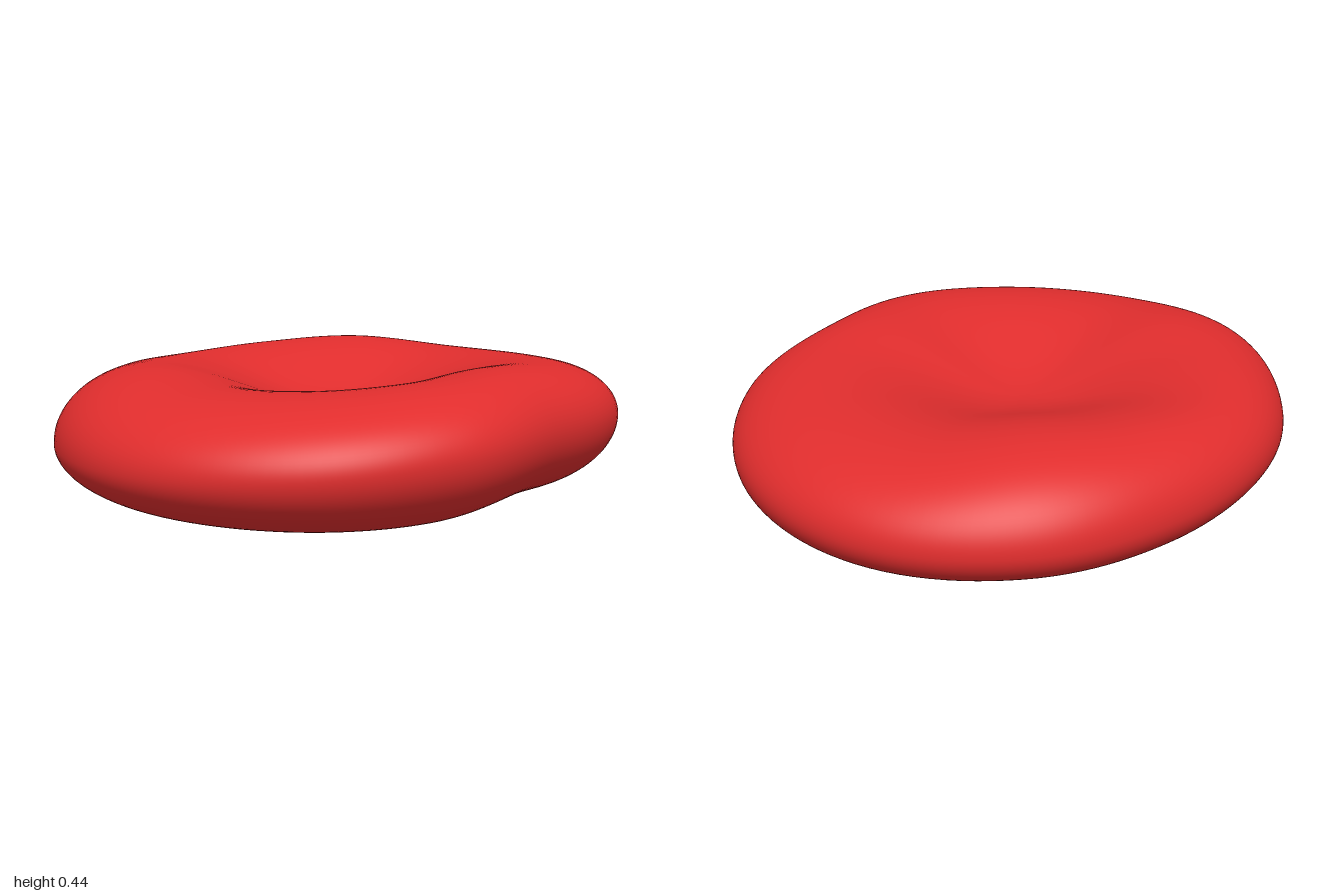
import * as THREE from 'three';
import { mergeVertices } from 'three/addons/utils/BufferGeometryUtils.js';

// Values every 30 degrees from the front (0) to the back (180), mirrored left/right
const outline = [0.85, 0.93, 0.99, 1.0, 0.95, 0.872, 0.85];
const topHeight = [0.445, 0.43, 0.41, 0.405, 0.43, 0.415, 0.4];
const bottomHeight = [0.02, 0.004, 0.006, 0.012, 0.02, 0.02, 0.025];
const edgeHeight = [0.26, 0.25, 0.22, 0.2, 0.2, 0.21, 0.225];
const topCrest = [0.73, 0.7, 0.65, 0.63, 0.65, 0.7, 0.73];
const bottomCrest = [0.58, 0.58, 0.6, 0.6, 0.6, 0.58, 0.56];
const TOP_CENTRE = 0.28, BOTTOM_CENTRE = 0.13;

// Smooth interpolation of a mirrored table
function sample(table, angle) {
  const n = table.length - 1;
  const at = (i) => {
    const j = Math.abs(i);
    return table[j > n ? 2 * n - j : j];
  };
  const t = (Math.abs(angle) / Math.PI) * n;
  const i = Math.min(Math.floor(t), n - 1), f = t - i;
  const [a, b, c, d] = [at(i - 1), at(i), at(i + 1), at(i + 2)];
  return b + 0.5 * f * (c - a + f * (2 * a - 5 * b + 4 * c - d + f * (3 * (b - c) + d - a)));
}

// Height across the disc: dimple inside the crest, rounded rim outside it
function profile(s, crest, peak, edge, centre) {
  if (s < crest) return centre + (peak - centre) * 0.5 * (1 - Math.cos((Math.PI * s) / crest));
  const k = Math.min(1, (s - crest) / (1 - crest));
  return edge + (peak - edge) * Math.sqrt(1 - k * k);
}

function discGeometry() {
  let geometry = new THREE.SphereGeometry(1, 128, 96);
  geometry.deleteAttribute('uv');
  geometry.deleteAttribute('normal');
  geometry = mergeVertices(geometry, 1e-4);
  const p = geometry.attributes.position;
  for (let i = 0; i < p.count; i++) {
    const x = p.getX(i), z = p.getZ(i);
    const s = Math.min(1, Math.hypot(x, z));
    const angle = s < 1e-4 ? 0 : Math.atan2(x, z);
    const edge = sample(edgeHeight, angle);
    const y = p.getY(i) >= 0
      ? profile(s, sample(topCrest, angle), sample(topHeight, angle), edge, TOP_CENTRE)
      : profile(s, sample(bottomCrest, angle), sample(bottomHeight, angle), edge, BOTTOM_CENTRE);
    const r = sample(outline, angle);
    p.setXYZ(i, x * r, y, z * r);
  }
  geometry.computeVertexNormals();
  // Stand it exactly on the floor
  geometry.computeBoundingBox();
  geometry.translate(0, -geometry.boundingBox.min.y, 0);
  return geometry;
}

export function createModel() {
  const group = new THREE.Group();
  group.name = 'bloodCell';
  const disc = new THREE.Mesh(discGeometry(), new THREE.MeshStandardMaterial({ color: 0xe02d2d }));
  disc.name = 'dimpledDisc';
  group.add(disc);
  return group;
}
